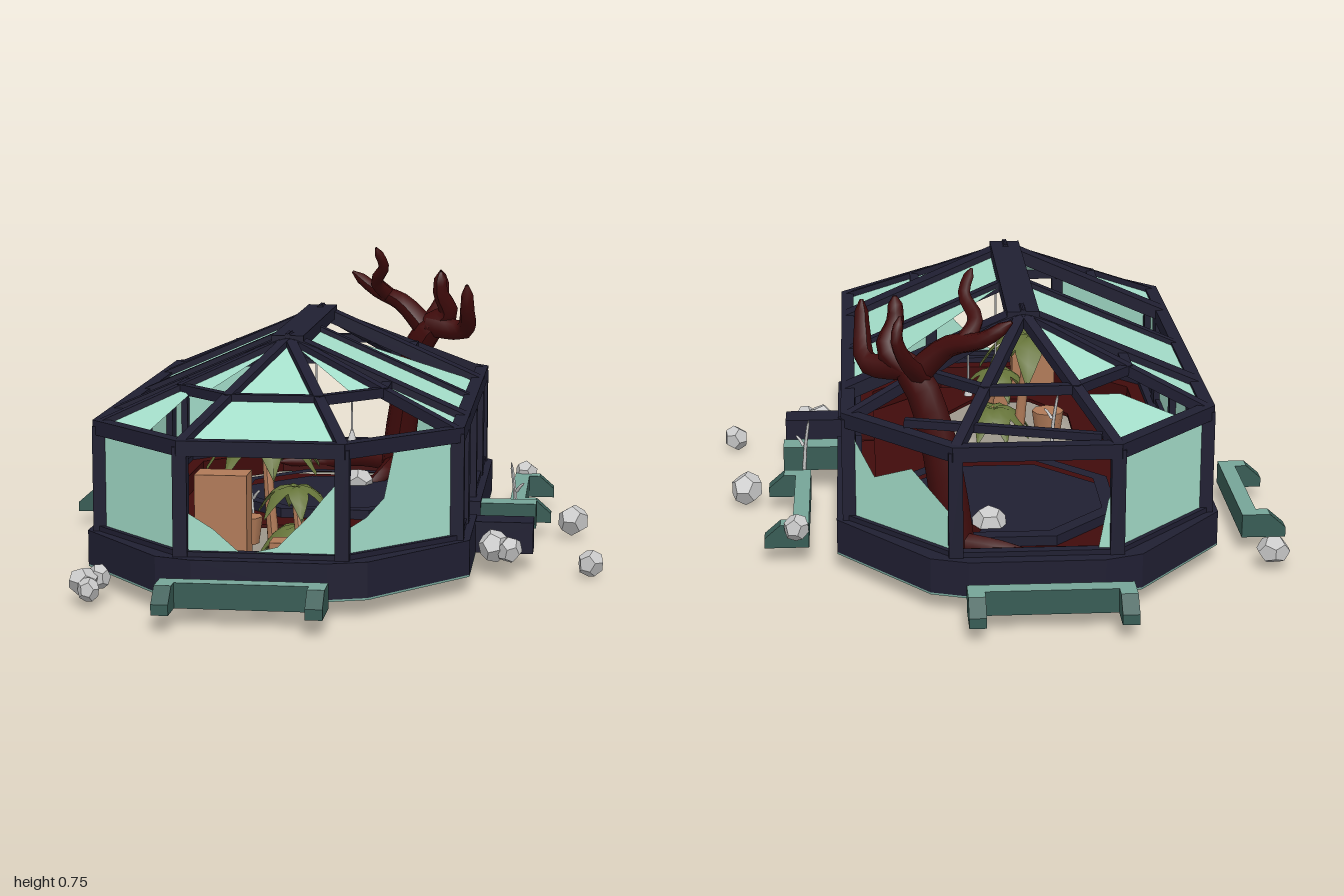
import * as THREE from 'three';

const mat = (name, color, side = THREE.FrontSide) => Object.assign(new THREE.MeshStandardMaterial({ color, side }), { name });
const M = {
  frame: mat('navy frame', 0x201f32),
  glass: mat('mint glass', 0xa4deca, THREE.DoubleSide),
  rail: mat('weathered green', 0x76a498),
  railDark: mat('dark green', 0x385c55),
  wood: mat('dark red wood', 0x400b0b, THREE.DoubleSide),
  stone: mat('pale stone', 0xc8c8c8),
  water: mat('pool teal', 0x3eaab8),
  leaf: mat('olive leaf', 0x66743a, THREE.DoubleSide),
  clay: mat('clay brown', 0xb07a58),
};
// Dark sides with a light top face
const CAPPED = [M.railDark, M.railDark, M.rail, M.railDark, M.railDark, M.railDark];
const V = (x, y, z) => new THREE.Vector3(x, y, z);

function add(parent, name, geo, material, x = 0, y = 0, z = 0) {
  const m = new THREE.Mesh(geo, material);
  m.name = name;
  m.position.set(x, y, z);
  parent.add(m);
  return m;
}
const box = (p, name, material, x0, x1, y0, y1, z0, z1) =>
  add(p, name, new THREE.BoxGeometry(x1 - x0, y1 - y0, z1 - z0), material, (x0 + x1) / 2, (y0 + y1) / 2, (z0 + z1) / 2);

// Square beam between two points
function beam(p, name, a, b, w = 0.025, h = w) {
  const m = add(p, name, new THREE.BoxGeometry(w, h, a.distanceTo(b) + w * 0.4), M.frame);
  m.position.copy(a).lerp(b, 0.5);
  m.quaternion.setFromRotationMatrix(new THREE.Matrix4().lookAt(b, a, V(0, 1, 0)));
}
// Flat slab from a plan outline of [x, z] points
function slab(p, name, material, pts, y0, y1, holes = []) {
  const v2 = (l) => l.map(([x, z]) => new THREE.Vector2(x, -z));
  const s = new THREE.Shape(v2(pts));
  holes.forEach((h) => s.holes.push(new THREE.Path(v2(h))));
  const g = new THREE.ExtrudeGeometry(s, { depth: y1 - y0, bevelEnabled: false }).rotateX(-Math.PI / 2);
  add(p, name, g, material, 0, y0, 0);
}
// Pane spanning four corners; poly holds the [u, v] outline of the remaining glass
const FULL = [[0, 0], [1, 0], [1, 1], [0, 1]];
function pane(p, name, [a, b, c, d], poly = FULL) {
  if (!poly) return;
  const pts = poly.map(([u, v]) => a.clone().lerp(b, u).lerp(d.clone().lerp(c, u), v));
  const g = new THREE.BufferGeometry().setFromPoints(pts);
  g.setIndex(THREE.ShapeUtils.triangulateShape(poly.map((q) => new THREE.Vector2(...q)), []).flat());
  g.computeVertexNormals();
  add(p, name, g, M.glass);
}
// Tapered limb along a curve
function limb(p, name, pts, r0, r1, material = M.wood, sides = 7) {
  const curve = new THREE.CatmullRomCurve3(pts.map((q) => V(...q)));
  const n = 10, g = new THREE.TubeGeometry(curve, n, 1, sides, false), pos = g.attributes.position, q = V();
  for (let i = 0; i < pos.count; i++) {
    const t = Math.floor(i / (sides + 1)) / n, c = curve.getPointAt(t);
    q.fromBufferAttribute(pos, i).sub(c).multiplyScalar(t > 0.99 ? r1 * 0.3 : r0 + (r1 - r0) * t).add(c);
    pos.setXYZ(i, q.x, q.y, q.z);
  }
  g.computeVertexNormals();
  add(p, name, g, material);
}
// Plan outline mirrored from the points of its front right quarter
const mirrored = (q) => {
  const front = [...q, ...[...q].reverse().map(([x, z]) => [-x, z])];
  return [...front, ...[...front].reverse().map(([x, z]) => [x, -z])];
};
// Band left open at the doorway
const band = (outer, inner) => [[outer[0][0], 0.23], ...outer, [outer[0][0], 0.07],
  [inner[0][0], 0.07], ...[...inner].reverse(), [inner[0][0], 0.23]];

function palm(p, x, z, top, size, count) {
  const g = new THREE.Group();
  g.name = 'palm';
  limb(g, 'palmTrunk', [[x + 0.03, 0.04, z + 0.05], [x + 0.015, top * 0.6, z + 0.04], [x, top, z]], 0.016, 0.011, M.clay);
  for (let k = 0; k < count; k++) {
    const geo = new THREE.PlaneGeometry(1, 1, 2, 5), pos = geo.attributes.position;
    for (let i = 0; i < pos.count; i++) {
      const t = pos.getY(i) + 0.5, u = pos.getX(i) * 2;
      const w = size * 0.26 * Math.sin(Math.PI * (0.08 + 0.92 * t));
      pos.setXYZ(i, u * w, size * (0.5 * t - 1.15 * t * t - Math.abs(u) * 0.08), size * t);
    }
    geo.computeVertexNormals();
    add(g, 'palmLeaf', geo, M.leaf, x, top, z).rotation.y = (k / count) * Math.PI * 2 + 0.3;
  }
  p.add(g);
}

function rail(p, x, z, turn) {
  const g = new THREE.Group();
  g.name = 'lowRail';
  box(g, 'railBar', CAPPED, -0.195, 0.195, 0, 0.06, 0, 0.04);
  const s = new THREE.Shape([[0.07, 0], [0.11, 0], [0.11, 0.025], [0.07, 0.06]].map((q) => new THREE.Vector2(...q)));
  for (const fx of [-0.155, 0.195]) {
    box(g, 'railReturn', CAPPED, fx - 0.04, fx, 0, 0.06, 0.04, 0.07);
    const f = new THREE.ExtrudeGeometry(s, { depth: 0.04, bevelEnabled: false }).rotateY(-Math.PI / 2);
    add(g, 'railFoot', f, M.railDark, fx, 0, 0);
  }
  g.position.set(x, 0.04, z);
  g.rotation.y = turn;
  p.add(g);
}

export function createModel() {
  const root = new THREE.Group();
  root.name = 'ruinedGreenhouse';
  const b = new THREE.Group();
  b.name = 'greenhouse';
  b.position.x = -0.08;
  root.add(b);

  // Foundation, floor and inner beds
  const outer = mirrored([[0.47, 0.54], [0.25, 0.8], [0.16, 0.83]]);
  const inner = mirrored([[0.405, 0.51], [0.18, 0.75]]);
  slab(b, 'foundation', M.frame, band(outer, inner), 0.045, 0.13);
  slab(b, 'foundationUnderside', M.rail, band(outer, inner), 0.04, 0.045);
  slab(b, 'plantBed', M.wood, band(inner, mirrored([[0.37, 0.49], [0.165, 0.705]])), 0.05, 0.115);
  const floor = [[0.37, 0.23], [0.37, 0.48], [0.17, 0.68], [-0.17, 0.68], [-0.37, 0.48], [-0.37, -0.42], [-0.15, -0.62],
    [0.17, -0.62], [0.37, -0.42], [0.37, 0.07], [0.47, 0.07], [0.47, 0.23]];
  const planter = [[-0.19, 0.1], [0.18, 0.1], [0.18, 0.42], [0.08, 0.56], [-0.09, 0.56], [-0.19, 0.42]];
  const pool = (r) => [...Array(8)].map((_, i) => {
    const a = (i + 0.5) * Math.PI / 4;
    return [0.05 + r * Math.cos(a), -0.28 + r * Math.sin(a)];
  });
  slab(b, 'floor', M.wood, floor, 0.05, 0.06, [planter, pool(0.29)]);
  slab(b, 'floorUnderside', M.stone, floor, 0.045, 0.05, [planter, pool(0.29)]);
  slab(b, 'poolRim', M.frame, pool(0.31), 0.04, 0.085, [pool(0.27)]);
  slab(b, 'poolBasin', M.frame, pool(0.28), 0.06, 0.07);
  slab(b, 'poolUnderside', M.water, pool(0.28), 0.055, 0.06);

  // Entrance
  box(b, 'entranceCheekGreen', CAPPED, 0.45, 0.615, 0.06, 0.125, 0, 0.065);
  box(b, 'entranceCheekNavy', M.frame, 0.45, 0.615, 0.045, 0.125, 0.22, 0.3);
  box(b, 'entranceStep', M.wood, 0.42, 0.555, 0.045, 0.075, 0.08, 0.2);

  // Walls: ring of posts with panes between them
  const E = 0.39, B = 0.13, W = 0.438;
  const ring = [[W, 0], [W, 0.32], [W, 0.53], [0.19, 0.785], [-0.19, 0.785], [-W, 0.53], [-W, 0.32],
    [-W, 0], [-W, -0.32], [-W, -0.53], [-0.19, -0.785], [0.19, -0.785], [W, -0.53], [W, -0.32]];
  const wallGlass = {
    0: null,
    1: [[0, 0], [1, 0], [1, 1], [0.6, 1], [0.4, 0.7], [0, 0.6]],
    2: [[0, 0], [1, 0], [1, 0.25], [0.8, 0.35], [0.65, 0.5], [0.55, 1], [0, 1]],
    3: [[0, 0], [1, 0], [1, 0.43], [0.8, 0.25], [0.62, 0.02], [0.4, 0.1], [0.2, 0.4], [0.12, 0.55], [0, 0.75]],
    6: [[0, 0], [1, 0], [1, 0.75], [0.7, 0.55], [0.45, 0.5], [0.25, 0.8], [0, 1]],
    10: [[0, 0], [0.12, 0], [0.06, 0.5], [0, 0.7]],
    11: [[0, 0], [1, 0], [1, 0.9], [0.75, 0.5], [0.4, 0.7], [0, 0.35]],
    12: [[0, 0], [1, 0], [1, 0.4], [0.6, 0.6], [0.3, 1], [0, 1]],
  };
  ring.forEach(([x, z], i) => {
    const [x2, z2] = ring[(i + 1) % ring.length];
    const main = Math.abs(z) === 0.32;
    box(b, 'wallPost', M.frame, x - 0.017, x + 0.017, B - 0.01, E, z - (main ? 0.03 : 0.016), z + (main ? 0.03 : 0.016));
    beam(b, 'eaveBeam', V(x, E - 0.003, z), V(x2, E - 0.003, z2), 0.034, 0.036);
    if (i) beam(b, 'sillBeam', V(x, B, z), V(x2, B, z2), 0.025);
    pane(b, 'wallGlass', [V(x, B, z), V(x2, B, z2), V(x2, E, z2), V(x, E, z)], i in wallGlass ? wallGlass[i] : FULL);
  });

  // Central roof: ridge, heavy arches and a thin middle rafter
  const R = 0.582;
  box(b, 'ridgeBeam', M.frame, -0.04, 0.04, R - 0.02, R + 0.014, -0.35, 0.35);
  for (const s of [-1, 1]) {
    for (const z of [-0.32, 0, 0.32]) beam(b, 'rafter', V(s * W, E, z), V(0, R, z), z ? 0.06 : 0.03, z ? 0.033 : 0.025);
    for (const f of [-1, 1]) {
      let poly = FULL;
      if (s < 0 && f > 0) poly = null;
      if (s > 0 && f < 0) poly = [[0, 0], [1, 0], [0, 0.95]];
      pane(b, 'roofGlass', [V(s * W, E, 0), V(s * W, E, f * 0.32), V(0, R, f * 0.32), V(0, R, 0)], poly);
    }
  }

  // Faceted end roofs
  const halfRing = [[W, 0.33], [W, 0.53], [0.19, 0.785], [-0.19, 0.785], [-W, 0.53], [-W, 0.33]];
  const lowFront = [FULL, null, FULL, [[0.45, 0], [1, 0], [1, 1], [0.7, 0.9]], FULL];
  const topFront = [FULL, [[0, 0], [0.45, 0], [0.5, 0.97], [0, 0.97]], FULL, [[0.5, 0], [1, 0], [1, 0.97]], FULL];
  const lowBack = [null, null, null, [[0, 0], [0.75, 0], [0.5, 0.7], [0, 0.9]], FULL];
  const topBack = [null, null, null, FULL, null];
  for (const f of [1, -1]) {
    const apex = V(0, R, f * 0.33);
    const low = halfRing.map(([x, z]) => V(x, E, f * z));
    const mid = low.map((q) => q.clone().lerp(apex, 0.43));
    low.forEach((q, i) => {
      if (i > 0 && i < 5) beam(b, 'endRafter', q, apex, 0.026);
      if (i === 5) return;
      beam(b, 'endPurlin', mid[i], mid[i + 1], 0.024);
      pane(b, 'endRoofGlassLow', [q, low[i + 1], mid[i + 1], mid[i]], (f > 0 ? lowFront : lowBack)[i]);
      pane(b, 'endRoofGlassHigh', [mid[i], mid[i + 1], apex, apex], (f > 0 ? topFront : topBack)[i]);
    });
  }
  beam(b, 'fallenBeam', V(-0.15, 0.41, -0.76), V(0.3, 0.42, -0.66), 0.02);

  // Dead tree growing through the back roof
  const tree = new THREE.Group();
  tree.name = 'deadTree';
  root.add(tree);
  limb(tree, 'trunk', [[0.1, 0.05, -0.63], [0.12, 0.22, -0.61], [0.15, 0.38, -0.58], [0.19, 0.49, -0.55], [0.24, 0.54, -0.52]], 0.05, 0.04);
  const branches = [
    [0.036, 0.014, [[0.2, 0.5, -0.55], [0.12, 0.58, -0.58], [0.04, 0.61, -0.63], [-0.03, 0.66, -0.65]]],
    [0.022, 0.012, [[0.08, 0.6, -0.6], [0.05, 0.64, -0.56], [0.075, 0.69, -0.51], [0.055, 0.745, -0.48]]],
    [0.036, 0.016, [[0.21, 0.52, -0.54], [0.26, 0.56, -0.52], [0.24, 0.62, -0.49], [0.24, 0.68, -0.48]]],
    [0.036, 0.015, [[0.21, 0.52, -0.54], [0.31, 0.515, -0.48], [0.32, 0.58, -0.42], [0.32, 0.65, -0.4]]],
    [0.026, 0.011, [[0.18, 0.5, -0.56], [0.22, 0.56, -0.62], [0.24, 0.62, -0.64], [0.23, 0.67, -0.62]]],
    [0.035, 0.012, [[0.1, 0.1, -0.63], [0.2, 0.09, -0.6], [0.27, 0.05, -0.5], [0.29, 0.04, -0.42]]],
    [0.03, 0.012, [[0.1, 0.1, -0.63], [0, 0.1, -0.68], [-0.12, 0.08, -0.72], [-0.26, 0.08, -0.7]]],
    [0.03, 0.012, [[0.1, 0.1, -0.63], [0.08, 0.09, -0.52], [0.03, 0.04, -0.45], [0.04, 0.04, -0.38]]],
  ];
  branches.forEach(([r0, r1, pts], i) => limb(tree, i < 5 ? 'branch' : 'treeRoot', pts, r0, r1));

  // Palms, crates and pot
  palm(root, -0.15, 0.27, 0.345, 0.15, 7);
  palm(root, -0.06, 0.36, 0.215, 0.1, 6);
  palm(root, -0.05, 0.34, 0.11, 0.11, 8);
  box(root, 'crate', M.clay, -0.25, -0.125, 0.06, 0.31, 0.64, 0.72);
  box(root, 'smallCrate', M.clay, -0.1, -0.02, 0.05, 0.11, 0.47, 0.54);
  add(root, 'pot', new THREE.CylinderGeometry(0.045, 0.035, 0.07, 8), M.clay, -0.2, 0.085, 0.28);

  // Hanging lamps and broken sticks
  for (const [x, y, z] of [[-0.04, 0.3, 0.1], [0.04, 0.29, -0.02]]) {
    add(root, 'lampCord', new THREE.CylinderGeometry(0.003, 0.003, 0.22, 5), M.stone, x, y + 0.11, z);
    add(root, 'lampBulb', new THREE.ConeGeometry(0.012, 0.04, 8), M.stone, x, y, z);
  }
  for (const [x, z] of [[0.48, -0.03], [-0.2, 0.15]]) {
    limb(root, 'stick', [[x, 0.06, z], [x - 0.004, 0.13, z], [x - 0.015, 0.215, z - 0.01]], 0.006, 0.004, M.stone, 5);
    limb(root, 'stickTwig', [[x, 0.14, z], [x + 0.01, 0.155, z + 0.01], [x + 0.02, 0.165, z + 0.015]], 0.005, 0.003, M.stone, 5);
  }

  // Low rails on four sides
  rail(root, -0.105, 0.89, 0);
  rail(root, -0.105, -0.89, Math.PI);
  rail(root, 0.46, -0.3, Math.PI / 2);
  rail(root, -0.62, -0.3, -Math.PI / 2);

  // Scattered rocks: x, y, z, radius
  const rocks = [[-0.68, 0.05, -0.6, 0.042], [0.63, 0.05, -0.1, 0.045], [0.44, 0.08, 0.37, 0.042], [0.48, 0.075, 0.39, 0.036],
    [0.68, 0.035, 0.34, 0.036], [-0.51, 0.055, 0.76, 0.04], [-0.48, 0.06, 0.73, 0.033], [-0.49, 0.045, 0.8, 0.03],
    [0.49, 0.1, -0.51, 0.035], [0.01, 0.075, -0.44, 0.045]];
  rocks.forEach(([x, y, z, r], i) => {
    const m = add(root, 'rock', new THREE.DodecahedronGeometry(r), M.stone, x, y, z);
    m.rotation.set(i * 1.3, i * 2.1, i * 0.7);
    m.scale.set(1, 0.85, 0.95);
  });
  return root;
}
